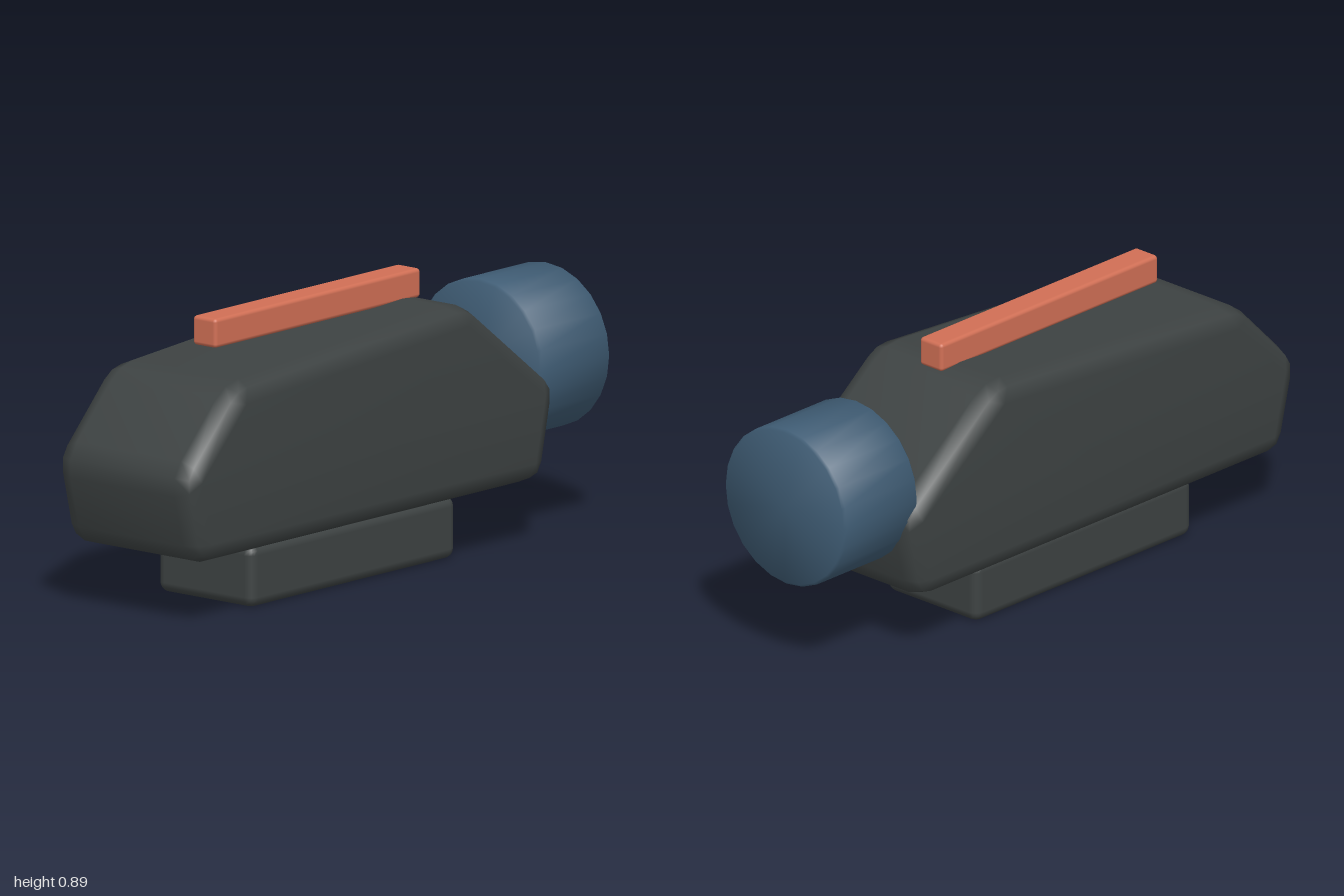
import * as THREE from 'three';
import { mergeVertices, toCreasedNormals } from 'three/addons/utils/BufferGeometryUtils.js';
import { RoundedBoxGeometry } from 'three/addons/geometries/RoundedBoxGeometry.js';

// Side outline of the body as sharp corners [z, y], from the nose over the top
const OUTLINE = [
  [1.01, 0.48], [0.76, 0.735], [-0.33, 0.81],
  [-0.745, 0.49], [-0.68, 0.195], [0.94, 0.195],
].map(([z, y]) => new THREE.Vector2(z, y));

// Outline moved inwards by d, each corner cut back by t and rounded
function roundedOutline(d, t) {
  const n = OUTLINE.length;
  const points = [];
  OUTLINE.forEach((p, i) => {
    const u = p.clone().sub(OUTLINE[(i + n - 1) % n]).normalize();
    const v = OUTLINE[(i + 1) % n].clone().sub(p).normalize();
    const corner = p.clone().addScaledVector(v.clone().sub(u), d / Math.abs(u.cross(v)));
    const a = corner.clone().addScaledVector(u, -t);
    const b = corner.clone().addScaledVector(v, t);
    const mid = a.clone().add(b).multiplyScalar(0.25).addScaledVector(corner, 0.5);
    points.push(a, mid, b);
  });
  return points;
}

// Body lofted across x, with bevelled side edges
function bodyGeometry(halfWidth, bevel) {
  const positions = [];
  const index = [];
  const levels = [];
  for (const side of [-1, 1]) {
    for (let k = 0; k <= 2; k++) {
      const phi = (side < 0 ? 2 - k : k) * Math.PI / 4;
      levels.push({
        x: side * (halfWidth - bevel + bevel * Math.sin(phi)),
        d: bevel * (1 - Math.cos(phi)),
        t: bevel * Math.cos(phi),
      });
    }
  }
  const count = OUTLINE.length * 3;
  for (const { x, d, t } of levels) {
    for (const p of roundedOutline(d, t)) positions.push(x, p.y, p.x);
  }
  const last = (levels.length - 1) * count;
  const centre = levels.length * count;
  positions.push(-halfWidth, 0.45, 0.1, halfWidth, 0.45, 0.1);
  for (let j = 0; j < count; j++) {
    const next = (j + 1) % count;
    for (let i = 0; i < levels.length - 1; i++) {
      const a = i * count + j;
      const b = i * count + next;
      index.push(a, a + count, b, b, a + count, b + count);
    }
    index.push(centre, j, next, centre + 1, last + next, last + j);
  }
  const geometry = new THREE.BufferGeometry();
  geometry.setAttribute('position', new THREE.Float32BufferAttribute(positions, 3));
  geometry.setIndex(index);
  const merged = mergeVertices(geometry, 1e-4);
  merged.computeVertexNormals();
  return merged;
}

// Drum with a narrow bevel on both rims, axis along z
function drumGeometry(radius, length, bevel) {
  const h = length / 2;
  const profile = [
    [0, -h], [radius - bevel, -h], [radius, -h + bevel],
    [radius, h - bevel], [radius - bevel, h], [0, h],
  ].map(([r, y]) => new THREE.Vector2(r, y));
  const geometry = new THREE.LatheGeometry(profile, 24);
  geometry.rotateX(Math.PI / 2);
  return toCreasedNormals(geometry, 0.9);
}

export function createModel() {
  const model = new THREE.Group();
  const material = (name, color) => {
    const m = new THREE.MeshStandardMaterial({ color });
    m.name = name;
    return m;
  };
  const charcoal = material('charcoal', 0x3d4242);
  const blue = material('slate blue', 0x3f5c74);
  const orange = material('coral', 0xd06f55);

  const add = (name, geometry, mat, y, z) => {
    const mesh = new THREE.Mesh(geometry, mat);
    mesh.name = name;
    mesh.position.set(0, y, z);
    model.add(mesh);
  };

  add('body', bodyGeometry(0.274, 0.065), charcoal, 0, 0);
  add('base', new RoundedBoxGeometry(0.386, 0.195, 0.965, 2, 0.032), charcoal, 0.0975, 0.13);
  add('topRail', new RoundedBoxGeometry(0.094, 0.092, 0.965, 2, 0.012), orange, 0.841, 0.13);
  add('rearDrum', drumGeometry(0.256, 0.325, 0.008), blue, 0.535, -0.8375);
  return model;
}
